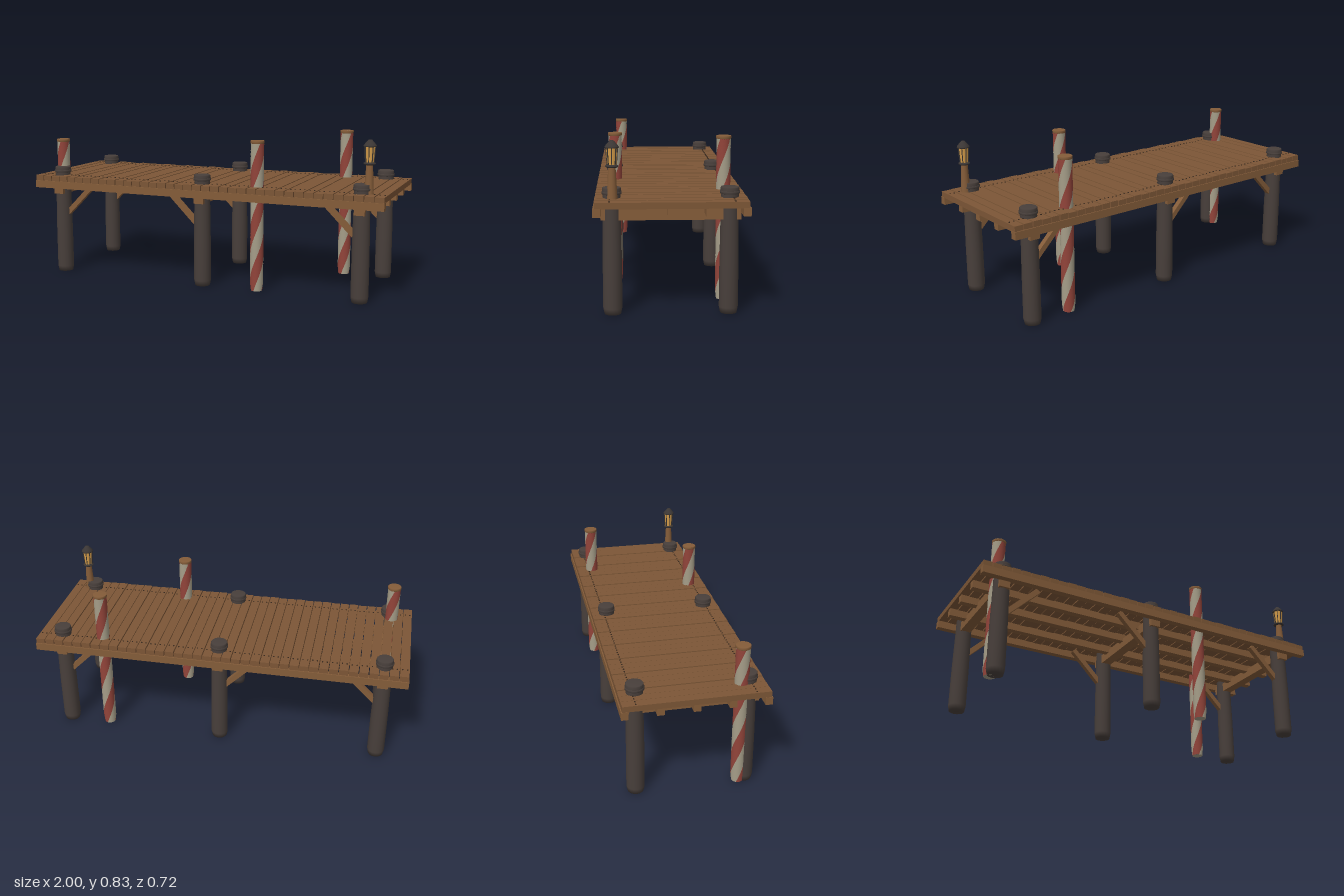
import * as THREE from 'three';

const mat = (name, color, double) => {
  const m = new THREE.MeshStandardMaterial({ color });
  m.name = name;
  if (double) m.side = THREE.DoubleSide;
  return m;
};

export function createModel() {
  const wood = mat('deck wood', 0x7c5636);
  const beamWood = mat('beam wood', 0x845c39);
  const bark = mat('dark pile wood', 0x483f3b);
  const red = mat('stripe red', 0x92443a);
  const cream = mat('stripe cream', 0xa59d88);
  const iron = mat('lamp iron', 0x3b3634);
  const glow = mat('lamp glass', 0xd9a04c);
  const nailMat = mat('nail', 0x3a2a1e);

  const model = new THREE.Group();
  model.name = 'pier';
  const add = (name, geo, material, x = 0, y = 0, z = 0, parent = model) => {
    const m = new THREE.Mesh(geo, material);
    m.name = name;
    m.position.set(x, y, z);
    parent.add(m);
    return m;
  };
  const lathe = (pts, sides) =>
    new THREE.LatheGeometry(pts.map(([r, y]) => new THREE.Vector2(r, y)), sides);
  const box = (w, h, d) => new THREE.BoxGeometry(w, h, d);

  // Deck planks with small gaps, uneven heights and nails
  const count = 39, pitch = 2 / count;
  const plankGeo = box(pitch - 0.004, 0.03, 0.71);
  const nailGeo = new THREE.CylinderGeometry(0.004, 0.004, 0.004, 6);
  for (let i = 0; i < count; i++) {
    const x = -1 + pitch * (i + 0.5);
    const top = 0.56 - 0.0015 * ((i * 7) % 3);
    add('plank', plankGeo, wood, x, top - 0.015, 0);
    for (const z of [-0.29, 0.285])
      for (const dx of [-0.012, 0.012]) add('nail', nailGeo, nailMat, x + dx, top + 0.001, z);
  }

  // Rim beams and joists along the length
  for (const s of [-1, 1]) add('rimBeam', box(2, 0.04, 0.035), beamWood, 0, 0.51, s * 0.343);
  for (const z of [-0.173, 0, 0.173]) add('joist', box(1.98, 0.042, 0.036), beamWood, 0, 0.51, z);

  // Piles, cross beams and diagonal braces
  const pileGeo = lathe([[0, 0], [0.04, 0], [0.046, 0.03], [0.0455, 0.25], [0.042, 0.5], [0.042, 0.578]], 16);
  const collarGeo = lathe([[0.042, 0.575], [0.047, 0.577], [0.047, 0.588], [0.042, 0.589]], 16);
  const capGeo = lathe([[0.044, 0.587], [0.044, 0.603], [0.041, 0.607], [0, 0.607]], 16);
  const braceGeo = box(0.235, 0.028, 0.028);
  [[-0.87, 1], [0, -1], [0.87, -1]].forEach(([x, dir]) => {
    add('crossBeam', box(0.055, 0.052, 0.656), beamWood, x, 0.481, 0);
    for (const z of [-0.275, 0.275]) {
      add('pile', pileGeo, bark, x, 0, z);
      add('pileCollar', collarGeo, bark, x, 0, z);
      add('pileCap', capGeo, bark, x, 0, z);
      add('brace', braceGeo, beamWood, x + dir * 0.115, 0.425, z).rotation.z = dir * Math.PI / 4;
    }
  });

  // Mooring poles: a twisted cylinder whose columns form two spiral stripes
  const stripedPole = (x, z, height, phase) => {
    const pole = new THREE.Group();
    pole.name = 'mooringPole';
    pole.position.set(x, 0, z);
    model.add(pole);
    const cols = 24, rows = 44, rise = 0.28;
    const geo = new THREE.CylinderGeometry(0.035, 0.035, height, cols, rows, true);
    geo.translate(0, height / 2, 0);
    const p = geo.attributes.position, n = geo.attributes.normal;
    const v = new THREE.Vector3(), up = new THREE.Vector3(0, 1, 0);
    for (let i = 0; i < p.count; i++) {
      const y = p.getY(i), turn = Math.PI * (y / rise + phase);
      const taper = Math.min(1, 0.86 + y * 3.5);
      v.fromBufferAttribute(p, i).applyAxisAngle(up, turn);
      p.setXYZ(i, v.x * taper, y, v.z * taper);
      v.fromBufferAttribute(n, i).applyAxisAngle(up, turn);
      n.setXYZ(i, v.x, v.y, v.z);
    }
    geo.clearGroups();
    for (let c = 0; c < cols; c++)
      geo.addGroup(c * rows * 6, rows * 6, c % 12 >= 6 ? 0 : 1);
    add('stripedShaft', geo, [red, cream], 0, 0, 0, pole);
    const foot = add('poleFoot', new THREE.CircleGeometry(0.0301, 24), cream, 0, 0, 0, pole);
    foot.rotation.x = Math.PI / 2;
    add('poleCap', lathe([[0.034, -0.016], [0.037, -0.013], [0.037, -0.002], [0.035, 0], [0, 0]], 24),
      beamWood, 0, height, 0, pole);
  };
  stripedPole(-0.885, 0.24, 0.76, 0.86);
  stripedPole(0.31, 0.265, 0.8, 0.93);
  stripedPole(0.645, -0.268, 0.82, 0.93);

  // Lantern on a tapered post
  const lamp = new THREE.Group();
  lamp.name = 'lantern';
  lamp.position.set(0.902, 0, 0.272);
  model.add(lamp);
  add('lampPost', new THREE.CylinderGeometry(0.017, 0.025, 0.15, 12), beamWood, 0, 0.632, 0, lamp);
  add('lampBase', lathe([[0, 0.704], [0.024, 0.704], [0.03, 0.708], [0.03, 0.713], [0.022, 0.717], [0, 0.717]], 16),
    iron, 0, 0, 0, lamp);
  add('lampGlass', new THREE.CylinderGeometry(0.027, 0.021, 0.082, 8), glow, 0, 0.756, 0, lamp);
  for (let i = 0; i < 8; i++) {
    const arm = new THREE.Group();
    arm.name = 'lampBar';
    arm.rotation.y = i * Math.PI / 4;
    lamp.add(arm);
    add('bar', box(0.004, 0.084, 0.004), iron, 0, 0.756, 0.0245, arm).rotation.x = 0.073;
  }
  add('lampRoof', lathe([[0, 0.794], [0.031, 0.794], [0.033, 0.797], [0.032, 0.801], [0.026, 0.809],
    [0.014, 0.823], [0.009, 0.828], [0, 0.829]], 16), iron, 0, 0, 0, lamp);

  return model;
}
